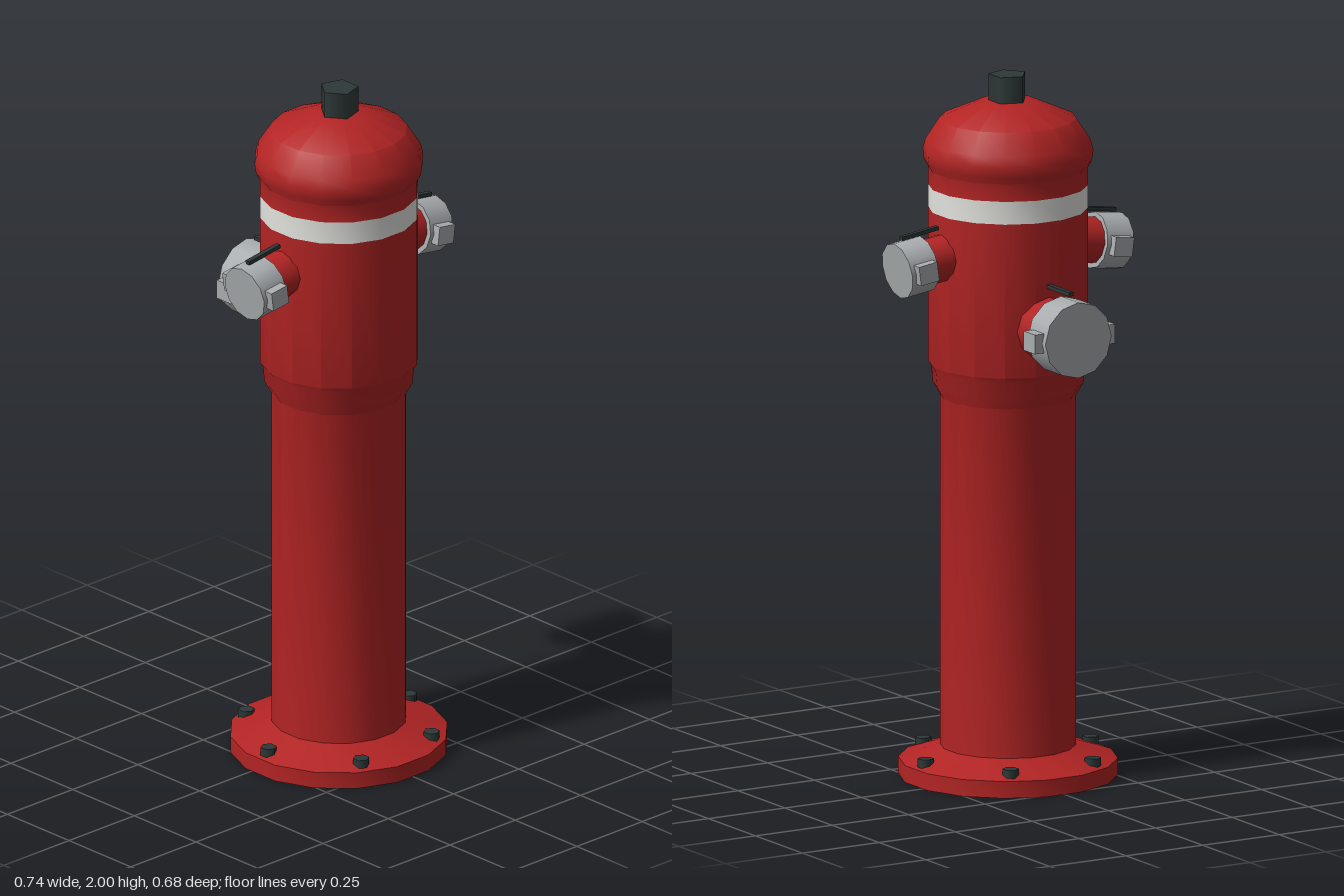
import * as THREE from 'three';
import { toCreasedNormals } from 'three/addons/utils/BufferGeometryUtils.js';

const paint = (name, color, side = THREE.FrontSide) => {
  const m = new THREE.MeshStandardMaterial({ color, side });
  m.name = name;
  return m;
};

export function createModel() {
  const red = paint('red paint', 0xb32424, THREE.DoubleSide);
  const white = paint('white band', 0xe2e2de, THREE.DoubleSide);
  const grey = paint('grey metal', 0xa9adaf);
  const dark = paint('dark iron', 0x2e3838);

  const model = new THREE.Group();
  model.name = 'hydrant';
  const AXIS_Z = 0.035;

  const add = (parent, name, geometry, material, x = 0, y = 0, z = 0) => {
    const mesh = new THREE.Mesh(geometry, material);
    mesh.name = name;
    mesh.position.set(x, y, z);
    parent.add(mesh);
    return mesh;
  };

  // Sixteen-sided turned sections of the barrel
  const turned = (name, profile, material) => {
    const points = profile.map(([r, y]) => new THREE.Vector2(r, y));
    const lathe = new THREE.LatheGeometry(points, 16, Math.PI / 16);
    add(model, name, toCreasedNormals(lathe, 0.62), material, 0, 0, AXIS_Z);
  };

  // Open-bottomed flange, pipe and wider upper barrel
  turned('flangeAndBarrel', [
    [0.306, 0], [0.306, 0.048], [0.19, 0.087], [0.19, 1.085], [0.21, 1.12],
    [0.214, 1.165], [0.223, 1.18], [0.223, 1.62],
  ], red);
  turned('reflectiveBand', [[0.223, 1.62], [0.223, 1.685]], white);
  turned('dome', [
    [0.223, 1.685], [0.223, 1.735], [0.234, 1.755], [0.238, 1.785],
    [0.23, 1.815], [0.191, 1.875], [0.078, 1.925], [0, 1.925],
  ], red);

  // Five-sided operating nut
  add(model, 'operatingNut',
    new THREE.CylinderGeometry(0.055, 0.055, 0.09, 5, 1, false, -Math.PI / 2),
    dark, 0, 1.955, AXIS_Z);

  // Six hex bolts passing through the flange
  const boltGeometry = new THREE.CylinderGeometry(0.023, 0.023, 0.055, 6);
  for (let i = 0; i < 6; i++) {
    const a = (i + 0.5) * Math.PI / 3;
    add(model, 'flangeBolt', boltGeometry, dark,
      0.269 * Math.sin(a), 0.049, AXIS_Z + 0.269 * Math.cos(a));
  }

  // Outlet pointing along local +z, with its outer face at the local origin
  const outlet = (name, o) => {
    const g = new THREE.Group();
    g.name = name;
    const tube = (r, length) =>
      new THREE.CylinderGeometry(r, r, length, o.sides).rotateX(Math.PI / 2);
    add(g, 'cap', tube(o.capR, o.capL), grey, 0, 0, -o.capL / 2);
    add(g, 'neck', tube(o.neckR, o.neckL), red, 0, 0, 0.005 - o.capL - o.neckL / 2);
    for (const s of [-1, 1]) {
      add(g, 'capLug', new THREE.BoxGeometry(0.05, 0.055, 0.06), grey,
        s * (o.lugX - 0.025), 0, o.lugZ);
    }
    add(g, 'lever', new THREE.BoxGeometry(0.015, 0.011, 0.12), dark, 0, o.leverY, o.leverZ);
    g.rotation.order = 'YXZ';
    g.rotation.set(o.tilt, o.turn, 0);
    g.position.set(...o.at);
    model.add(g);
  };

  for (const s of [-1, 1]) {
    outlet(s > 0 ? 'leftOutlet' : 'rightOutlet', {
      sides: 12, capR: 0.08, capL: 0.086, neckR: 0.066, neckL: 0.12,
      lugX: 0.1, lugZ: -0.043, leverY: 0.089, leverZ: -0.084,
      tilt: 0.14, turn: s * Math.PI / 2, at: [s * 0.361, 1.48, AXIS_Z],
    });
  }
  outlet('backOutlet', {
    sides: 12, capR: 0.108, capL: 0.094, neckR: 0.092, neckL: 0.13,
    lugX: 0.131, lugZ: -0.048, leverY: 0.124, leverZ: -0.098,
    tilt: 0, turn: Math.PI, at: [0, 1.312, -0.34],
  });

  return model;
}
